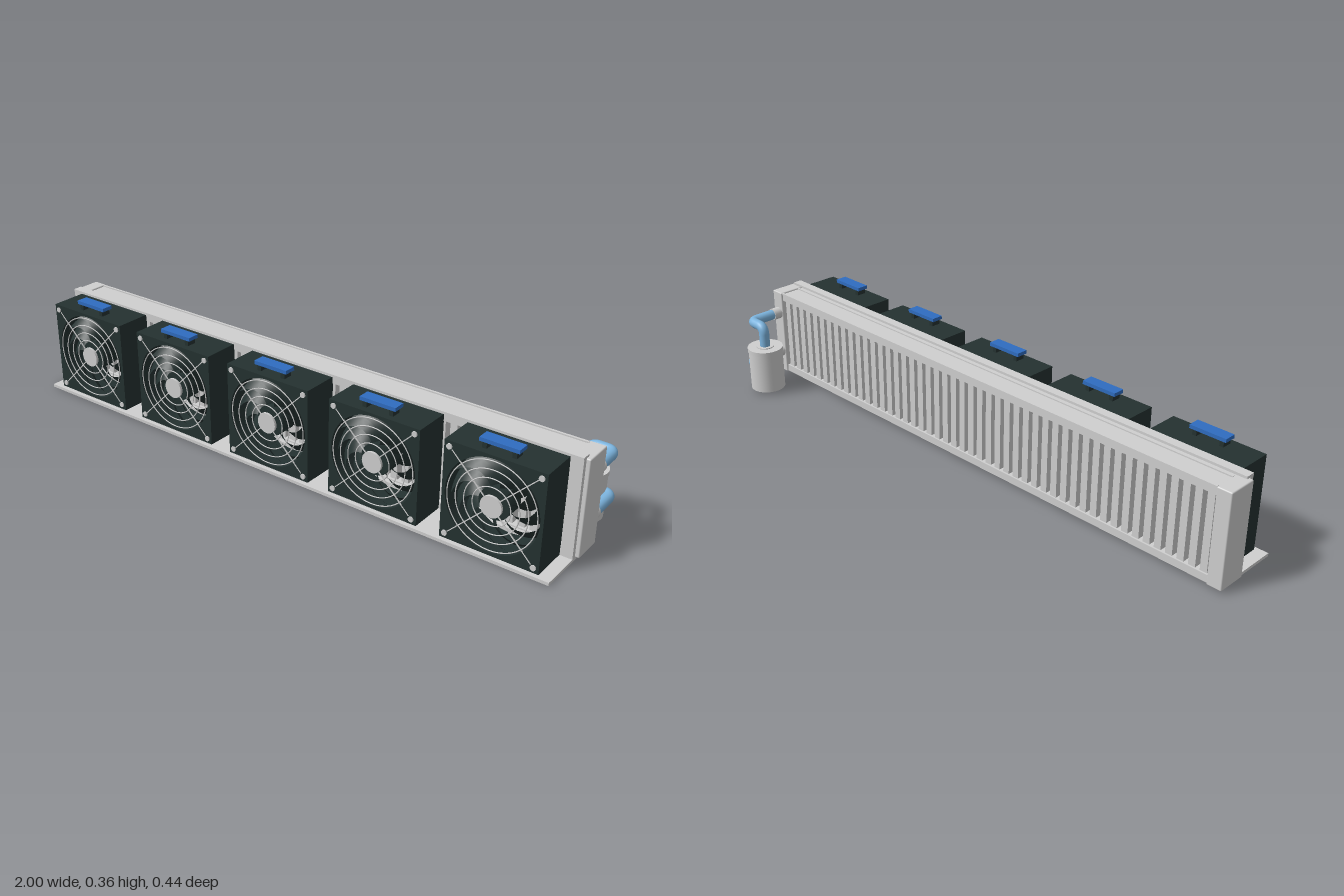
import * as THREE from 'three';
import { RoundedBoxGeometry } from 'three/addons/geometries/RoundedBoxGeometry.js';
import { ParametricGeometry } from 'three/addons/geometries/ParametricGeometry.js';

const paint = (name, color, side = THREE.FrontSide) => {
  const m = new THREE.MeshStandardMaterial({ color, side });
  m.name = name;
  return m;
};

export function createModel() {
  const model = new THREE.Group();
  model.name = 'cooler';
  const metal = paint('light grey metal', 0xcfcfcf);
  const dark = paint('dark housing', 0x243130, THREE.DoubleSide);
  const blue = paint('handle blue', 0x2f6cc0);
  const hose = paint('hose blue', 0x7cb4de);

  const add = (parent, name, geo, mat, x = 0, y = 0, z = 0) => {
    const m = new THREE.Mesh(geo, mat);
    m.name = name;
    m.position.set(x, y, z);
    parent.add(m);
    return m;
  };
  // Box given by its limits
  const box = (parent, name, mat, x0, x1, y0, y1, z0, z1) =>
    add(parent, name, new THREE.BoxGeometry(x1 - x0, y1 - y0, z1 - z0), mat,
      (x0 + x1) / 2, (y0 + y1) / 2, (z0 + z1) / 2);
  const rectangle = (w, h) => new THREE.Shape([[-w, -h], [w, -h], [w, h], [-w, h]]
    .map(([x, y]) => new THREE.Vector2(x, y)));
  const extrude = (shape, depth) =>
    new THREE.ExtrudeGeometry(shape, { depth, bevelEnabled: false, curveSegments: 32 });

  // Radiator: end tanks, rails and vertical tubes over a thin fin sheet
  const radiator = new THREE.Group();
  radiator.name = 'radiator';
  model.add(radiator);
  for (const s of [-1, 1]) {
    add(radiator, 'endTank', new RoundedBoxGeometry(0.05, 0.314, 0.1, 2, 0.004), metal, s * 0.975, 0.167, 0.017);
  }
  for (const [y0, y1] of [[0.012, 0.037], [0.294, 0.319]]) {
    box(radiator, 'coreRail', metal, -0.95, 0.95, y0, y1, -0.027, 0.067);
  }
  for (const z of [-0.026, 0.046]) {
    box(radiator, 'topRib', metal, -0.95, 0.95, 0.319, 0.323, z - 0.004, z + 0.004);
  }
  box(radiator, 'finSheet', metal, -0.95, 0.95, 0.037, 0.294, 0.012, 0.022);
  const tubes = 48, pitch = 1.9 / tubes;
  for (let i = 0; i < tubes; i++) {
    const x = -0.95 + pitch * (i + 0.5);
    box(radiator, 'coreTube', metal, x - 0.012, x + 0.012, 0.037, 0.294, -0.021, 0.058);
  }

  // Shroud frame with folded lips, and the base shelf
  const frame = rectangle(0.987, 0.163);
  frame.holes.push(rectangle(0.95, 0.135));
  add(model, 'shroudFrame', extrude(frame, 0.015), metal, 0, 0.168, 0.067);
  box(model, 'shroudTopLip', metal, -0.987, 0.987, 0.325, 0.333, 0.053, 0.084);
  box(model, 'baseShelf', metal, -0.987, 0.987, 0, 0.01, 0.055, 0.22);

  // Shared fan geometry
  const casing = rectangle(0.158, 0.157);
  casing.holes.push(new THREE.Path().absarc(0, 0, 0.148, 0, Math.PI * 2, true));
  const casingGeo = extrude(casing, 0.125);
  const bladeGeo = new ParametricGeometry((u, v, p) => {
    const r = 0.045 + 0.098 * u;
    const a = 0.75 * u * u + (v - 0.5) * 0.5;
    p.set(r * Math.cos(a), r * Math.sin(a), (v - 0.5) * 0.035);
  }, 8, 4);
  const disc = (r, depth, n = 28) => new THREE.CylinderGeometry(r, r, depth, n).rotateX(Math.PI / 2);

  for (let i = -2; i <= 2; i++) {
    const fan = new THREE.Group();
    fan.name = 'fan';
    fan.position.set(i * 0.395, 0.168, 0);
    model.add(fan);
    add(fan, 'fanCasing', casingGeo, dark, 0, 0, 0.081);
    add(fan, 'rotorHub', disc(0.05, 0.06), dark, 0, 0, 0.16);
    for (let b = 0; b < 11; b++) {
      add(fan, 'fanBlade', bladeGeo, dark, 0, 0, 0.165).rotation.z = b * Math.PI * 2 / 11;
    }
    // Finger guard: rings, radial wires and centre cap
    for (const r of [0.06, 0.087, 0.114, 0.141]) {
      add(fan, 'guardRing', new THREE.TorusGeometry(r, 0.0018, 6, 48), metal, 0, 0, 0.206);
    }
    for (const a of [0.25, 0.75, 1.25, 1.75].map((k) => k * Math.PI)) {
      const wire = add(fan, 'guardWire', new THREE.BoxGeometry(0.155, 0.003, 0.003), metal,
        Math.cos(a) * 0.11, Math.sin(a) * 0.11, 0.206);
      wire.rotation.z = a;
    }
    add(fan, 'guardCap', disc(0.034, 0.008), metal, 0, 0, 0.206);
    for (const sx of [-1, 1]) {
      for (const sy of [-1, 1]) {
        add(fan, 'cornerScrew', disc(0.009, 0.006, 12), metal, sx * 0.141, sy * 0.14, 0.207);
      }
      // Handle post
      box(fan, 'handlePost', dark, sx * 0.046 - 0.007, sx * 0.046 + 0.007, 0.156, 0.178, 0.152, 0.185);
    }
    box(fan, 'handleGrip', blue, -0.062, 0.062, 0.176, 0.188, 0.148, 0.188);
  }

  // Reservoir behind the left end, with a lid and neck
  const reservoir = new THREE.Group();
  reservoir.name = 'reservoir';
  reservoir.position.set(0.9, 0, -0.155);
  model.add(reservoir);
  const can = (name, r, y0, y1) =>
    add(reservoir, name, new THREE.CylinderGeometry(r, r, y1 - y0, 40), metal, 0, (y0 + y1) / 2, 0);
  can('reservoirBody', 0.0605, 0.012, 0.156);
  can('reservoirLid', 0.063, 0.154, 0.169);
  can('reservoirNeck', 0.031, 0.169, 0.172);

  // Hoses: straight runs joined by rounded elbows
  const hoseAlong = (name, points, bend) => {
    const pts = points.map((p) => new THREE.Vector3(...p));
    const path = new THREE.CurvePath();
    let start = pts[0];
    for (let i = 1; i < pts.length - 1; i++) {
      const corner = pts[i];
      const before = corner.clone().add(pts[i - 1].clone().sub(corner).setLength(bend));
      const after = corner.clone().add(pts[i + 1].clone().sub(corner).setLength(bend));
      path.add(new THREE.LineCurve3(start, before));
      path.add(new THREE.QuadraticBezierCurve3(before, corner, after));
      start = after;
    }
    path.add(new THREE.LineCurve3(start, pts[pts.length - 1]));
    add(model, name, new THREE.TubeGeometry(path, 60, 0.018, 18), hose);
  };
  hoseAlong('upperHose', [[0.973, 0.243, -0.05], [0.973, 0.243, -0.155], [0.9, 0.243, -0.155], [0.9, 0.168, -0.155]], 0.026);
  hoseAlong('lowerHose', [[0.973, 0.092, -0.05], [0.973, 0.092, -0.172], [0.92, 0.092, -0.172]], 0.026);
  for (const y of [0.243, 0.092]) {
    add(model, 'hoseCollar', disc(0.021, 0.032, 24), metal, 0.973, y, -0.047);
  }
  return model;
}
